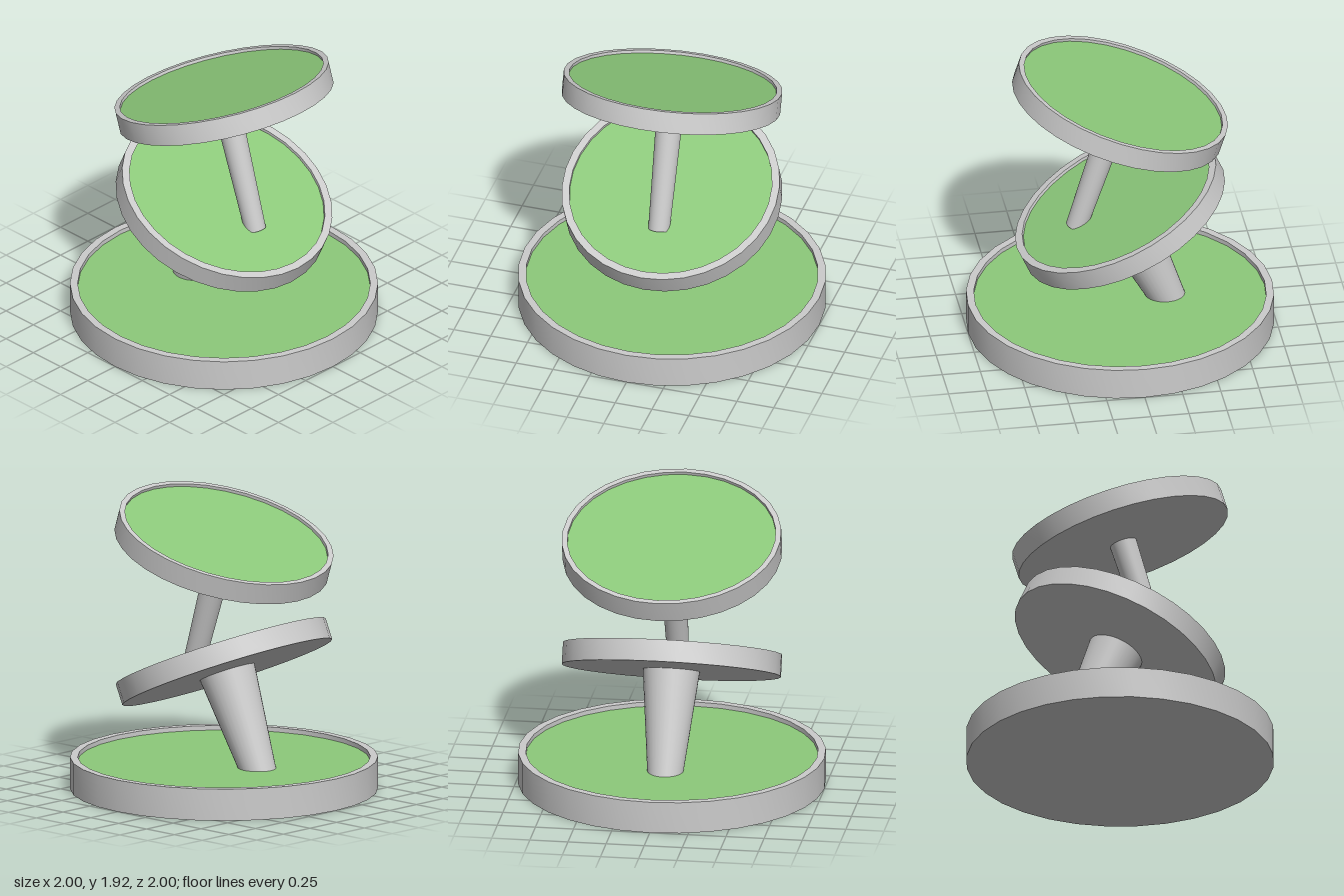
import * as THREE from 'three';
import { toCreasedNormals } from 'three/addons/utils/BufferGeometryUtils.js';

const SIDES = 32;
const grey = new THREE.MeshStandardMaterial({ color: 0xcccccc });
const green = new THREE.MeshStandardMaterial({ color: 0x8cc97a });

// Shallow round tray: grey shell with a raised rim and a green inlay, centred on its own middle
function tray(name, radius, height, rim, depth) {
  const group = new THREE.Group();
  group.name = name;
  const h = height / 2, inner = radius - rim;
  const profile = [[0, -h], [radius, -h], [radius, h], [inner, h], [inner, h - depth]]
    .map(([x, y]) => new THREE.Vector2(x, y));
  const shell = new THREE.Mesh(
    toCreasedNormals(new THREE.LatheGeometry(profile, SIDES), Math.PI / 5), grey);
  shell.name = name + 'Shell';
  const inlay = new THREE.Mesh(new THREE.CircleGeometry(inner, SIDES).rotateX(-Math.PI / 2), green);
  inlay.name = name + 'Inlay';
  inlay.position.y = h - depth;
  group.add(shell, inlay);
  return group;
}

// Tapered post between two points in the x-y plane
function post(name, [x0, y0], [x1, y1], rBottom, rTop) {
  const dx = x1 - x0, dy = y1 - y0;
  const mesh = new THREE.Mesh(
    new THREE.CylinderGeometry(rTop, rBottom, Math.hypot(dx, dy), SIDES), grey);
  mesh.name = name;
  mesh.position.set((x0 + x1) / 2, (y0 + y1) / 2, 0);
  mesh.rotation.z = -Math.atan2(dx, dy);
  return mesh;
}

export function createModel() {
  const model = new THREE.Group();
  model.name = 'tieredStand';

  // Wide level base
  const base = tray('baseTray', 1, 0.21, 0.05, 0.03);
  base.position.y = 0.105;

  // Two smaller trays leaning opposite ways
  const middle = tray('middleTray', 0.714, 0.143, 0.05, 0.02);
  middle.position.y = 0.84;
  middle.rotation.z = THREE.MathUtils.degToRad(-24.4);

  const top = tray('topTray', 0.714, 0.143, 0.036, 0.02);
  top.position.y = 1.63;
  top.rotation.z = THREE.MathUtils.degToRad(18.3);

  // Posts, square to the tray they carry and sunk slightly at both ends
  const lowerPost = post('lowerPost', [-0.335, 0.105], [-0.014, 0.81], 0.11, 0.19);
  const upperPost = post('upperPost', [0.287, 0.74], [0.012, 1.595], 0.07, 0.09);

  model.add(base, lowerPost, middle, upperPost, top);
  return model;
}
